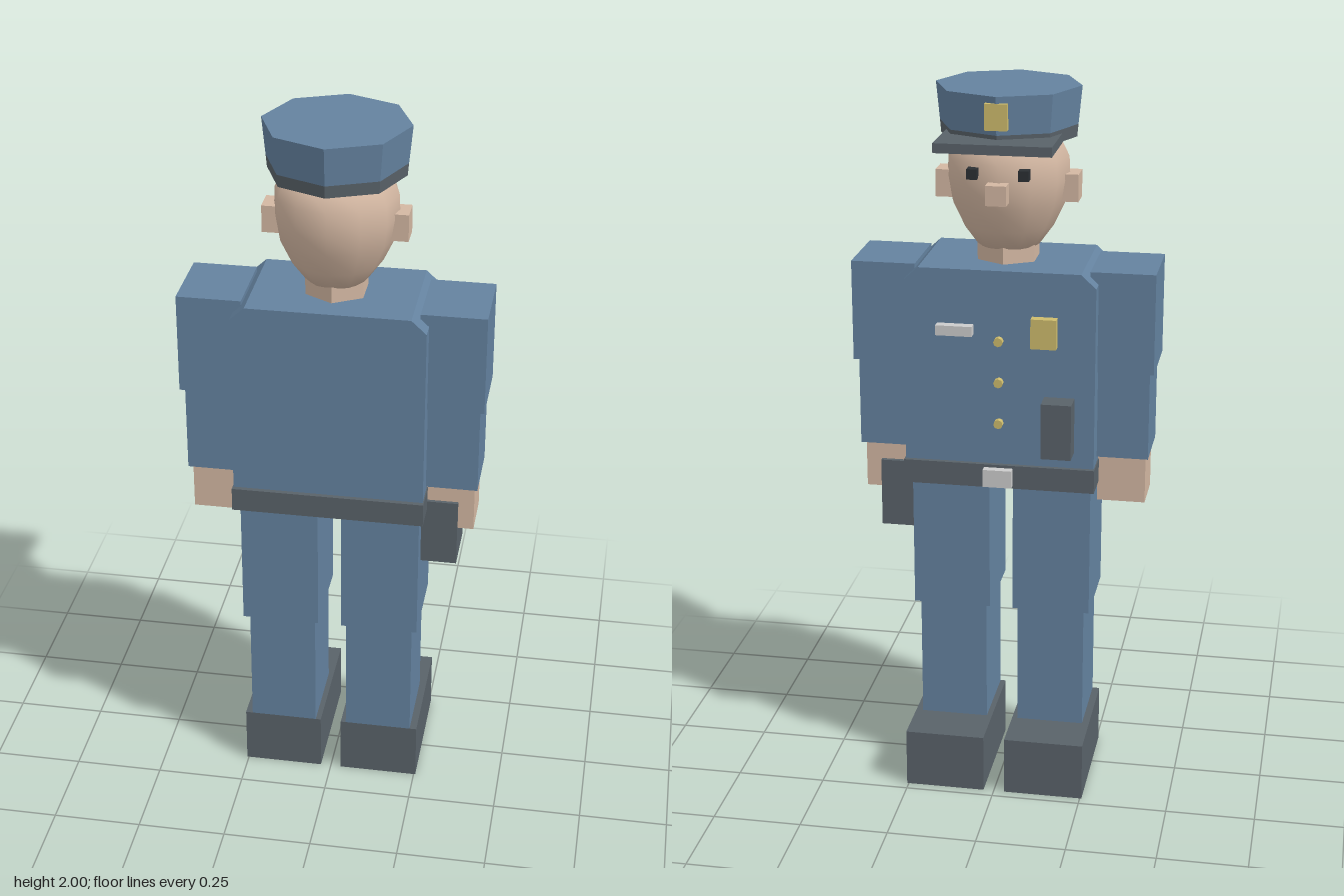
import * as THREE from 'three';

const mat = (color, flatShading = true) => new THREE.MeshStandardMaterial({ color, flatShading });
const BLUE = mat(0x64829f), DARK = mat(0x596269), SKIN = mat(0xd3b7a2), FACE = mat(0xd3b7a2, false);
const GOLD = mat(0xcdbb6c), SILVER = mat(0xcccccc), BLACK = mat(0x2b2f33);

export function createModel() {
  const model = new THREE.Group();

  const add = (parent, name, geometry, material) => {
    const mesh = new THREE.Mesh(geometry, material);
    mesh.name = name;
    parent.add(mesh);
    return mesh;
  };
  // Box given by its limits on each axis
  const box = (parent, name, material, [x0, x1], [y0, y1], [z0, z1]) => {
    const g = new THREE.BoxGeometry(x1 - x0, y1 - y0, z1 - z0);
    g.translate((x0 + x1) / 2, (y0 + y1) / 2, (z0 + z1) / 2);
    return add(parent, name, g, material);
  };
  // Box repeated on both sides; x limits are given for the +x side
  const pair = (parent, name, material, [x0, x1], y, z) => {
    box(parent, name + 'PlusX', material, [x0, x1], y, z);
    box(parent, name + 'MinusX', material, [-x1, -x0], y, z);
  };
  const group = (name) => {
    const g = new THREE.Group();
    g.name = name;
    model.add(g);
    return g;
  };

  // Legs
  const legs = group('legs');
  pair(legs, 'shoe', DARK, [0.03, 0.255], [0, 0.168], [-0.222, 0.143]);
  pair(legs, 'lowerLeg', BLUE, [0.045, 0.235], [0.168, 0.525], [-0.085, 0.143]);
  pair(legs, 'upperLeg', BLUE, [0.033, 0.251], [0.525, 0.902], [-0.096, 0.159]);

  // Torso with bevelled shoulders
  const body = group('body');
  const outline = new THREE.Shape([
    [-0.263, 0.97], [0.263, 0.97], [0.263, 1.487], [0.222, 1.525], [-0.222, 1.525], [-0.263, 1.487],
  ].map(([x, y]) => new THREE.Vector2(x, y)));
  const torso = new THREE.ExtrudeGeometry(outline, { depth: 0.312, bevelEnabled: false });
  torso.translate(0, 0, -0.127);
  add(body, 'torso', torso, BLUE);

  // Belt and what hangs from it
  box(body, 'belt', DARK, [-0.266, 0.266], [0.908, 0.975], [-0.14, 0.198]);
  box(body, 'buckle', SILVER, [-0.04, 0.04], [0.917, 0.967], [-0.163, -0.13]);
  box(body, 'holster', DARK, [0.25, 0.352], [0.74, 0.935], [-0.053, 0.11]);

  // Chest details
  box(body, 'pouch', DARK, [-0.208, -0.125], [1.02, 1.177], [-0.19, -0.12]);
  box(body, 'chestBadge', GOLD, [-0.16, -0.09], [1.32, 1.403], [-0.154, -0.12]);
  box(body, 'nameBar', SILVER, [0.07, 0.17], [1.345, 1.373], [-0.154, -0.12]);
  for (const y of [1.095, 1.213, 1.33]) {
    const button = add(body, 'button', new THREE.CylinderGeometry(0.013, 0.013, 0.025, 8), GOLD);
    button.rotation.x = Math.PI / 2;
    button.position.set(0, y, -0.132);
  }

  // Arms
  const arms = group('arms');
  pair(arms, 'upperArm', BLUE, [0.24, 0.417], [1.24, 1.521], [-0.081, 0.137]);
  pair(arms, 'lowerArm', BLUE, [0.255, 0.405], [0.99, 1.24], [-0.066, 0.122]);
  pair(arms, 'hand', SKIN, [0.262, 0.396], [0.852, 0.99], [-0.04, 0.1]);

  // Head
  const head = group('head');
  const cz = 0.027;
  add(head, 'neck', new THREE.CylinderGeometry(0.09, 0.09, 0.1, 6), SKIN).position.set(0, 1.56, cz);
  const profile = [
    [0, 1.565], [0.085, 1.565], [0.125, 1.62], [0.158, 1.69], [0.168, 1.75], [0.165, 1.81], [0.135, 1.87], [0, 1.88],
  ].map(([r, y]) => new THREE.Vector2(r, y));
  add(head, 'skull', new THREE.LatheGeometry(profile, 12), FACE).position.z = cz;
  pair(head, 'ear', SKIN, [0.148, 0.195], [1.692, 1.767], [-0.007, 0.063]);
  pair(head, 'eye', BLACK, [0.055, 0.083], [1.775, 1.803], [-0.147, -0.11]);
  box(head, 'nose', SKIN, [-0.028, 0.028], [1.713, 1.767], [-0.175, -0.12]);

  // Eight-sided cap with visor
  const cap = group('cap');
  add(cap, 'capCrown', new THREE.CylinderGeometry(0.198, 0.188, 0.103, 8), BLUE).position.set(0, 1.9485, cz);
  add(cap, 'capBand', new THREE.CylinderGeometry(0.188, 0.185, 0.034, 8), DARK).position.set(0, 1.88, cz);
  box(cap, 'visor', DARK, [-0.156, 0.156], [1.86, 1.886], [-0.226, -0.04]);
  box(cap, 'capBadge', GOLD, [-0.03, 0.03], [1.912, 1.982], [-0.173, -0.14]);

  return model;
}
